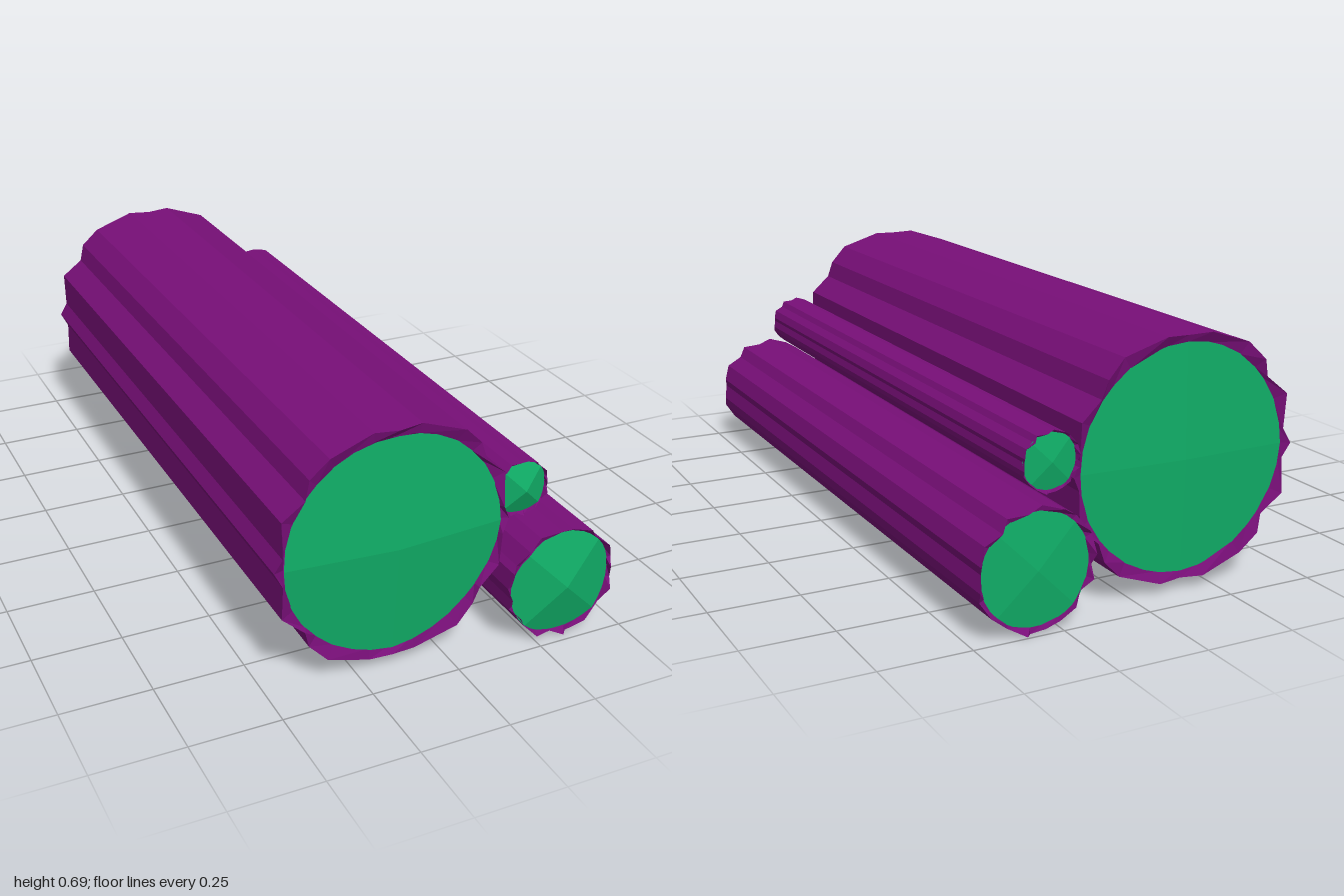
import * as THREE from 'three';

// Lobed outline of the thick log: one quarter, mirrored to the other three
const quarter = [[0.332, 0], [0.312, 0.04], [0.312, 0.138], [0.252, 0.188],
  [0.238, 0.238], [0.188, 0.288], [0.067, 0.328], [0, 0.325]];
const half = [...quarter, ...quarter.slice(0, -1).reverse().map(([x, y]) => [-x, y])];
const thickOutline = [...half, ...half.slice(1, -1).reverse().map(([x, y]) => [x, -y])];

// Irregular outline of the thin logs, counter-clockwise
const thinOutline = [[0.16, -0.027], [0.15, 0.013], [0.157, 0.038], [0.14, 0.083], [0.1, 0.113],
  [0.08, 0.143], [0.03, 0.151], [-0.015, 0.163], [-0.07, 0.148], [-0.11, 0.123], [-0.14, 0.083],
  [-0.155, 0.068], [-0.162, 0.018], [-0.155, -0.012], [-0.155, -0.047], [-0.125, -0.077],
  [-0.105, -0.112], [-0.07, -0.147], [-0.02, -0.152], [0.015, -0.165], [0.03, -0.164],
  [0.08, -0.137], [0.13, -0.097], [0.155, -0.057]];

function facets(corners) {
  const g = new THREE.BufferGeometry();
  g.setAttribute('position', new THREE.Float32BufferAttribute(corners.flat(), 3));
  g.computeVertexNormals();
  return g;
}

// Bark tube with a narrow sloping lip at both ends
function barkGeometry(outline, radius, front, back, jag, lip) {
  const rings = [[], [], [], []];
  outline.forEach(([x, y], i) => {
    const s = radius / Math.hypot(x, y);
    const j = (i % 2 ? 1 : -1) * jag;
    rings[0].push([x * s, y * s, front - lip]);
    rings[1].push([x, y, front + j]);
    rings[2].push([x, y, back + j]);
    rings[3].push([x * s, y * s, back + lip]);
  });
  const out = [];
  for (let r = 0; r < 3; r++) {
    for (let i = 0; i < outline.length; i++) {
      const k = (i + 1) % outline.length;
      const a = rings[r][i], b = rings[r][k], c = rings[r + 1][i], d = rings[r + 1][k];
      out.push(a, c, b, b, c, d);
    }
  }
  return facets(out);
}

// Round cut face rising to its middle as a shallow four-sided pyramid
function cutGeometry(radius, apex, rim, dir, turn) {
  const n = 32;
  const point = (i) => {
    const a = (i / n) * Math.PI * 2;
    const m = Math.max(Math.abs(Math.cos(a - turn)), Math.abs(Math.sin(a - turn)));
    return [Math.cos(a) * radius, Math.sin(a) * radius, apex + (rim - apex) * m];
  };
  const out = [];
  for (let i = 0; i < n; i++) {
    const p = point(i), q = point(i + 1);
    out.push([0, 0, apex], ...(dir > 0 ? [p, q] : [q, p]));
  }
  return facets(out);
}

export function createModel() {
  const model = new THREE.Group();
  model.name = 'logPile';
  const bark = new THREE.MeshStandardMaterial({ color: 0x780f78 });
  bark.name = 'purple bark';
  bark.side = THREE.DoubleSide;
  const wood = new THREE.MeshStandardMaterial({ color: 0x10ac66 });
  wood.name = 'green cut wood';

  const logs = [
    { name: 'thickLog', x: -0.147, y: 0.362, outline: thickOutline, scale: 1, r: 0.307,
      front: 0.908, back: -0.92, apex: 0.93, jag: 0.004, turn: Math.PI / 4 },
    { name: 'mediumLog', x: 0.32, y: 0.167, outline: thinOutline, scale: 1, r: 0.151,
      front: 0.972, back: -0.988, apex: 1.0, jag: 0.008, turn: 0 },
    { name: 'thinLog', x: 0.248, y: 0.413, outline: thinOutline, scale: 0.49, r: 0.0755,
      front: 0.865, back: -0.923, apex: 0.885, jag: 0.005, turn: 0 },
  ];

  for (const l of logs) {
    const log = new THREE.Group();
    log.name = l.name;
    log.position.set(l.x, l.y, 0);
    const lip = 0.012;
    const outline = l.outline.map(([x, y]) => [x * l.scale, y * l.scale]);
    const add = (name, geometry, material) => {
      const mesh = new THREE.Mesh(geometry, material);
      mesh.name = name;
      log.add(mesh);
    };
    add('bark', barkGeometry(outline, l.r - 0.002, l.front, l.back, l.jag, lip), bark);
    add('frontCut', cutGeometry(l.r, l.apex, l.front - lip, 1, l.turn), wood);
    add('backCut', cutGeometry(l.r, l.back - 0.003, l.back + lip, -1, l.turn), wood);
    model.add(log);
  }
  return model;
}
